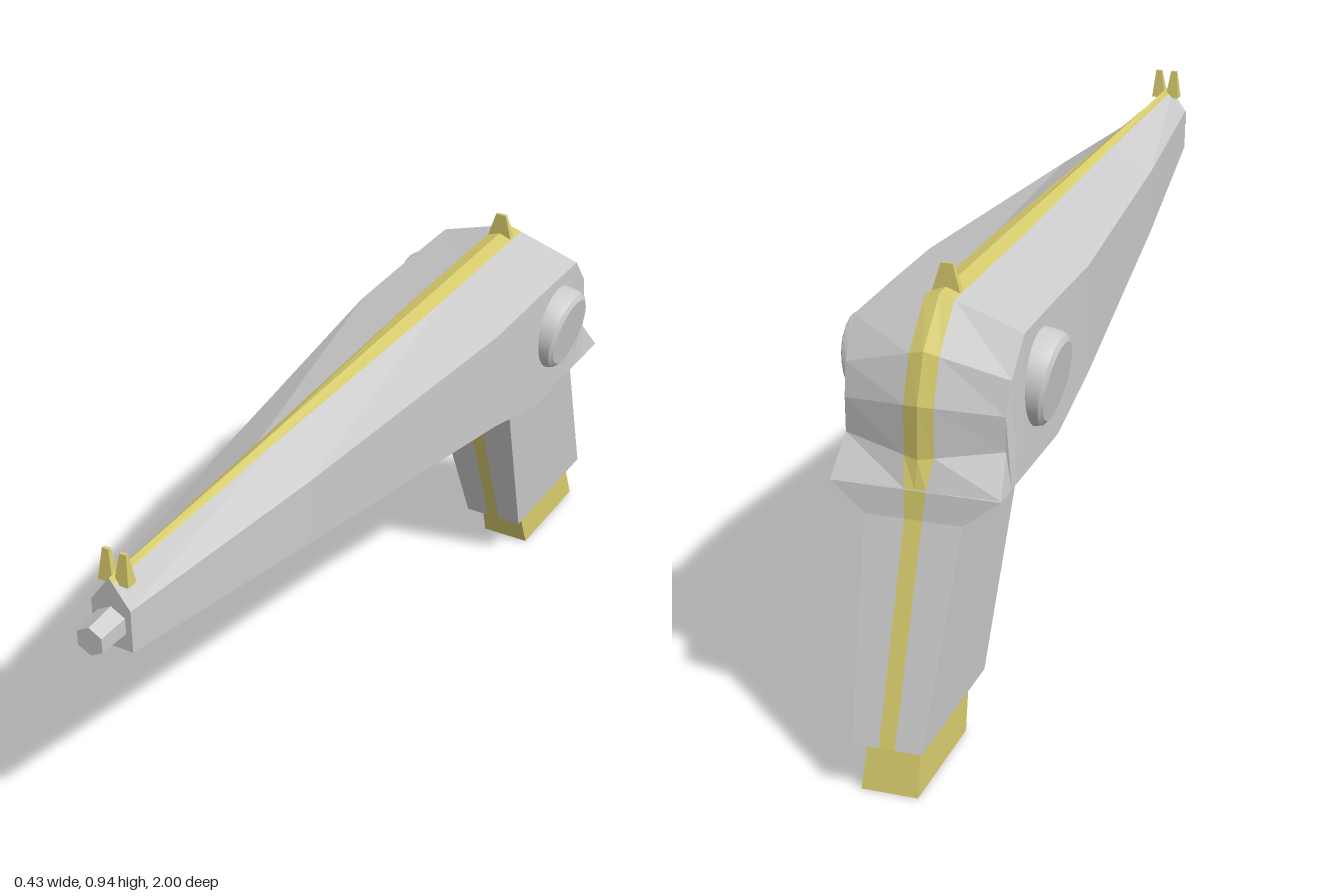
import * as THREE from 'three';
import { toCreasedNormals } from 'three/addons/utils/BufferGeometryUtils.js';

const grey = new THREE.MeshStandardMaterial({ color: 0xcccccc, flatShading: true });
const smoothGrey = new THREE.MeshStandardMaterial({ color: 0xcccccc });
const yellow = new THREE.MeshStandardMaterial({ color: 0xd6ca6c, flatShading: true });

function add(group, name, geometry, material) {
  const mesh = new THREE.Mesh(geometry, material);
  mesh.name = name;
  group.add(mesh);
  return mesh;
}

// Skin over closed rings of points; keep(edge) selects which strips to build.
function loft(rings, keep = () => true, caps = true) {
  const pos = [];
  const tri = (...pts) => pts.forEach((p) => pos.push(...p));
  const n = rings[0].length;
  for (let i = 0; i < rings.length - 1; i++) {
    for (let j = 0; j < n; j++) {
      if (!keep(j)) continue;
      const k = (j + 1) % n;
      const a = rings[i][j], b = rings[i][k], c = rings[i + 1][k], d = rings[i + 1][j];
      tri(a, d, c);
      tri(a, c, b);
    }
  }
  if (caps) {
    const first = rings[0], last = rings[rings.length - 1];
    for (let j = 1; j < n - 1; j++) {
      tri(first[0], first[j], first[j + 1]);
      tri(last[0], last[j + 1], last[j]);
    }
  }
  const g = new THREE.BufferGeometry();
  g.setAttribute('position', new THREE.Float32BufferAttribute(pos, 3));
  g.computeVertexNormals();
  return g;
}

// Rectangle at height y, anticlockwise seen from above
const rect = (y, x0, x1, zf, zr) => [[x0, y, zf], [x1, y, zf], [x1, y, zr], [x0, y, zr]];

// Body ring: bottom [z, y, half width], shoulder, ridge [z, y], top and bottom stripe half widths
function bodyRing([bottom, shoulder, ridge, sw, bw]) {
  const [bz, by, bx] = bottom, [sz, sy, sx] = shoulder, [rz, ry] = ridge;
  const t = sw / sx;
  const stripe = [sw, ry + (sy - ry) * t, rz + (sz - rz) * t];
  const half = [[bw, by, bz], [bx, by, bz], [sx, sy, sz], stripe];
  const mirrored = half.map(([x, y, z]) => [-x, y, z]).reverse();
  return [...half, [0, ry, rz], ...mirrored];
}

// Grip ring with a stripe on the front and rear faces
function gripRing([y, hw, zf, zr, front, rear]) {
  return [[-front, y, zf], [front, y, zf], [hw, y, zf], [hw, y, zr],
    [rear, y, zr], [-rear, y, zr], [-hw, y, zr], [-hw, y, zf]];
}

// Side-on outline extruded across x
function sideExtrude(shape, width) {
  const g = new THREE.ExtrudeGeometry(shape, { depth: width, bevelEnabled: false, curveSegments: 14 });
  g.translate(0, 0, -width / 2);
  g.rotateY(-Math.PI / 2);
  return g;
}

export function createModel() {
  const model = new THREE.Group();
  model.name = 'pistol';

  // Tapered body with rounded-over rear
  const body = [
    [[0.93, 0.743, 0.043], [0.93, 0.835, 0.043], [0.93, 0.895], 0.008, 0.004],
    [[0.4, 0.69, 0.105], [0.4, 0.835, 0.105], [0.4, 0.895], 0.015, 0.015],
    [[-0.29, 0.61, 0.17], [-0.29, 0.84, 0.17], [-0.29, 0.895], 0.03, 0.03],
    [[-0.49, 0.555, 0.17], [-0.49, 0.84, 0.17], [-0.49, 0.895], 0.03, 0.018],
    [[-0.65, 0.555, 0.17], [-0.69, 0.837, 0.17], [-0.68, 0.895], 0.03, 0.018],
    [[-0.7, 0.555, 0.17], [-0.75, 0.765, 0.165], [-0.77, 0.81], 0.03, 0.018],
    [[-0.74, 0.555, 0.17], [-0.77, 0.7, 0.16], [-0.808, 0.715], 0.03, 0.018],
    [[-0.77, 0.555, 0.17], [-0.77, 0.63, 0.16], [-0.812, 0.61], 0.03, 0.018],
    [[-0.83, 0.555, 0.17], [-0.828, 0.557, 0.17], [-0.829, 0.557], 0.022, 0.018],
  ].map(bodyRing);
  const bodyStripe = (j) => j === 3 || j === 4 || j === 8;
  add(model, 'body', loft(body, (j) => !bodyStripe(j)), grey);
  add(model, 'bodyStripe', loft(body, bodyStripe, false), yellow);

  // Collar, raked grip and chamfered foot
  const grip = [
    [0.555, 0.17, -0.49, -0.83, 0.018, 0.022],
    [0.5, 0.098, -0.515, -0.84, 0.016, 0.018],
    [0.1, 0.07, -0.655, -1, 0.015, 0.016],
    [0.09, 0.056, -0.69, -0.97, 0.015, 0.016],
  ].map(gripRing);
  const gripStripe = (j) => j === 0 || j === 4;
  add(model, 'grip', loft(grip, (j) => !gripStripe(j)), grey);
  add(model, 'gripStripe', loft(grip, gripStripe, false), yellow);
  add(model, 'magazineBase', loft([
    rect(0.092, -0.053, 0.053, -0.7, -0.962),
    rect(0, -0.057, 0.057, -0.73, -0.992),
  ]), yellow);

  // Hexagonal muzzle
  const muzzle = new THREE.CylinderGeometry(0.031, 0.035, 0.08, 6);
  muzzle.rotateX(Math.PI / 2);
  muzzle.rotateZ(0);
  muzzle.translate(0, 0.798, 0.96);
  add(model, 'muzzle', muzzle, grey);

  // Twin-pronged front sight and single rear sight
  for (const s of [-1, 1]) {
    const c = s * 0.017;
    add(model, 'frontSight', loft([
      rect(0.94, c + s * 0.002 - 0.007, c + s * 0.002 + 0.007, 0.909, 0.902),
      rect(0.875, c - 0.016, c + 0.016, 0.918, 0.892),
    ]), yellow);
  }
  add(model, 'rearSight', loft([
    rect(0.94, -0.012, 0.012, -0.634, -0.642),
    rect(0.88, -0.03, 0.03, -0.63, -0.648),
  ]), yellow);

  // Bevelled discs on both sides, tilted to face slightly down
  for (const s of [-1, 1]) {
    const profile = [[0, 0.02], [0.079, 0.02], [0.09, 0.013], [0.095, 0], [0.095, -0.05], [0, -0.05]]
      .map(([r, h]) => new THREE.Vector2(r, h)).reverse();
    const disc = toCreasedNormals(new THREE.LatheGeometry(profile, 28), 0.5);
    const mesh = add(model, s > 0 ? 'leftDisc' : 'rightDisc', disc, smoothGrey);
    mesh.position.set(s * 0.184, 0.714, -0.595);
    mesh.rotation.z = -s * (Math.PI / 2 + 0.175);
  }

  // Trigger guard hoop
  const guard = new THREE.Shape();
  guard.absarc(-0.475, 0.572, 0.133, 0.2, -2.4, true);
  guard.absarc(-0.475, 0.572, 0.115, -2.4, 0.2, false);
  guard.closePath();
  add(model, 'triggerGuard', sideExtrude(guard, 0.03), grey);

  // Curved trigger
  const trigger = new THREE.Shape();
  trigger.moveTo(-0.47, 0.575);
  trigger.quadraticCurveTo(-0.475, 0.52, -0.452, 0.485);
  trigger.quadraticCurveTo(-0.482, 0.51, -0.492, 0.575);
  trigger.closePath();
  add(model, 'trigger', sideExtrude(trigger, 0.022), grey);

  return model;
}
